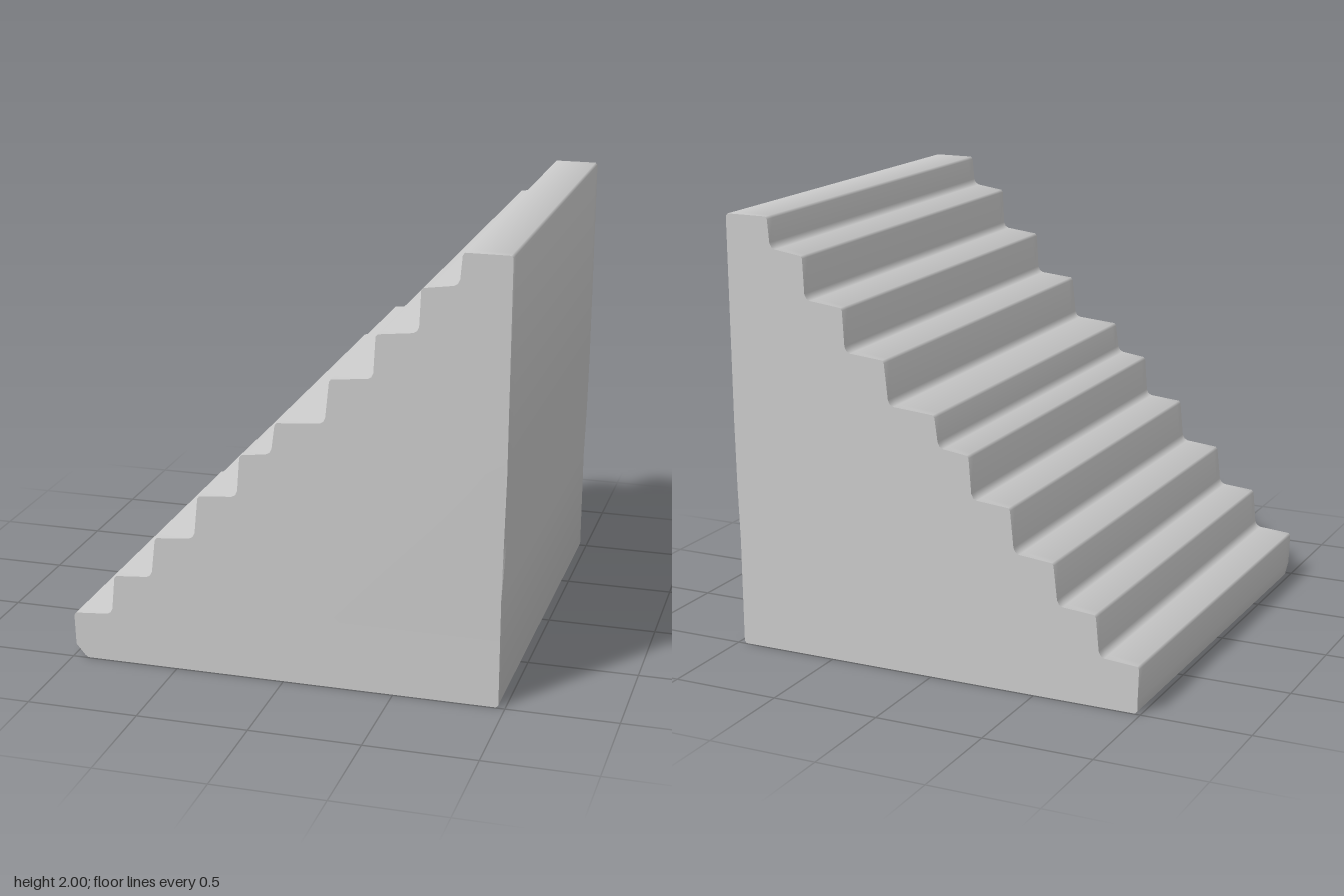
import * as THREE from 'three';
import { toCreasedNormals } from 'three/addons/utils/BufferGeometryUtils.js';

// each step: nose x, nose y, then inner end of the tread x, y
const STEPS = [
  [-0.99, 0.213, -0.83, 0.225],
  [-0.79, 0.413, -0.635, 0.425],
  [-0.592, 0.615, -0.43, 0.63],
  [-0.388, 0.832, -0.23, 0.845],
  [-0.192, 1.04, -0.07, 1.055],
  [-0.03, 1.2, 0.17, 1.215],
  [0.213, 1.416, 0.38, 1.43],
  [0.415, 1.628, 0.575, 1.645],
  [0.608, 1.84, 0.745, 1.858],
  [0.78, 2.0, 0.98, 2.0],
];
const HALF_DEPTH = 0.995;

// Side outline: worn steps with clipped noses and filleted inner corners
function stairProfile() {
  const pts = [];
  STEPS.forEach(([nx, ny, tx, ty], i) => {
    pts.push([nx, ny - 0.012], [nx + 0.009, ny], [tx, ty]);
    if (i < STEPS.length - 1) pts.push([tx + 0.017, ty + 0.009], [tx + 0.026, ty + 0.028]);
  });
  // slightly leaning back wall and the base
  pts.push([0.99, 1.99], [0.985, 1.05], [0.98, 0.75], [0.972, 0.5], [0.97, 0.012], [0.96, 0]);
  pts.push([-0.93, 0], [-0.975, 0], [-0.985, 0.012], [-0.985, 0.06]);
  return new THREE.Shape(pts.reverse().map(([x, y]) => new THREE.Vector2(x, y)));
}

function stairBlock() {
  const geo = new THREE.ExtrudeGeometry(stairProfile(), {
    depth: HALF_DEPTH * 2, steps: 40, bevelEnabled: false,
  });
  geo.translate(0, 0, -HALF_DEPTH);

  // Chips along the front edge: a dent in the wall and a broken bottom corner
  const p = geo.attributes.position;
  for (let i = 0; i < p.count; i++) {
    if (p.getZ(i) < HALF_DEPTH - 0.01) continue;
    const x = p.getX(i), y = p.getY(i);
    if (x > 0.9 && Math.abs(y - 0.75) < 0.01) p.setX(i, 0.945);
    if (x < -0.95 && y < 0.02) p.setXYZ(i, x + 0.03, y + 0.012, p.getZ(i));
  }
  return toCreasedNormals(geo, 1.0);
}

export function createModel() {
  const group = new THREE.Group();
  group.name = 'staircase';
  const stairs = new THREE.Mesh(stairBlock(), new THREE.MeshStandardMaterial({ color: 0xcccccc }));
  stairs.name = 'stairBlock';
  group.add(stairs);
  return group;
}
